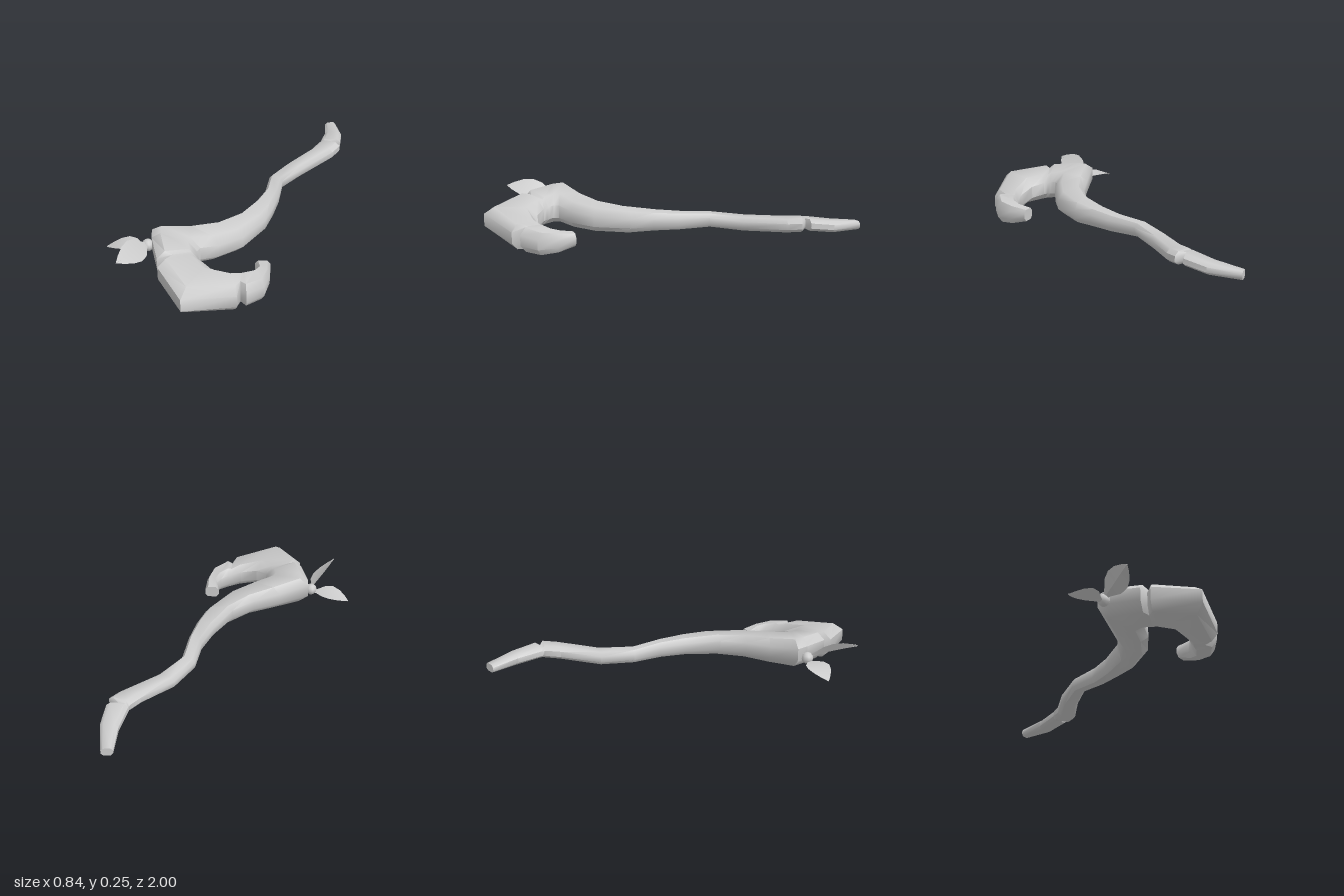
import * as THREE from 'three';
import { toCreasedNormals } from 'three/addons/utils/BufferGeometryUtils.js';

const material = new THREE.MeshStandardMaterial({ color: 0xcccccc });
const V = (x, y, z) => new THREE.Vector3(x, y, z);

// Closed skin over rings of equal point count, with capped ends
function loft(rings, crease) {
  const n = rings[0].length, last = rings.length - 1;
  const points = rings.flat(), index = [];
  for (let i = 0; i < last; i++) {
    for (let j = 0; j < n; j++) {
      const a = i * n + j, b = i * n + (j + 1) % n;
      index.push(a, b, a + n, b, b + n, a + n);
    }
  }
  for (let j = 1; j < n - 1; j++) {
    index.push(0, j + 1, j, last * n, last * n + j, last * n + j + 1);
  }
  const geometry = new THREE.BufferGeometry().setFromPoints(points);
  geometry.setIndex(index);
  return toCreasedNormals(geometry, crease);
}

// Bevelled eight-sided section: [across, up]
const SECTION = [[1, -0.45], [1, 0.45], [0.6, 1], [-0.6, 1], [-1, 0.45], [-1, -0.45], [-0.6, -1], [0.6, -1]];

function woodRing([lx, lz, ly, rx, rz, ry, h]) {
  const left = V(lx, ly, lz), right = V(rx, ry, rz);
  return SECTION.map(([u, v]) => {
    const p = left.clone().lerp(right, (u + 1) / 2);
    p.y += v * h;
    return p;
  });
}

// Leaf along base -> tip, with a raised midrib and curled blade
function leaf(base, tip, side, width, curl) {
  const dir = tip.clone().sub(base).normalize();
  const across = side.clone().addScaledVector(dir, -side.dot(dir)).normalize();
  const up = dir.clone().cross(across);
  const profile = [[0, 0.1], [0.12, 0.35], [0.3, 0.85], [0.5, 1], [0.7, 0.8], [0.88, 0.4], [1, 0.04]];
  const rings = profile.map(([t, w]) => {
    const c = base.clone().lerp(tip, t).addScaledVector(up, curl * Math.sin(t * Math.PI));
    const half = w * width / 2, thick = 0.003 + 0.004 * w;
    return [[half, 0.008 * w], [0, thick - 0.005 * w], [-half, 0.008 * w], [0, -thick - 0.005 * w]]
      .map(([u, v]) => c.clone().addScaledVector(across, u).addScaledVector(up, v));
  });
  return loft(rings, 0.5);
}

export function createModel() {
  const group = new THREE.Group();
  const add = (name, geometry) => {
    const mesh = new THREE.Mesh(geometry, material);
    mesh.name = name;
    group.add(mesh);
    return mesh;
  };

  // Stations: outer x, z, y, inner x, z, y, half thickness
  const shaft = [
    [0.02, -0.965, 0.11, 0.07, -1, 0.112, 0.022],
    [0.08, -0.83, 0.125, 0.17, -0.86, 0.125, 0.03],
    [0.11, -0.7, 0.143, 0.215, -0.74, 0.143, 0.031],
    [0.112, -0.69, 0.143, 0.18, -0.712, 0.143, 0.027], // crack
    [0.11, -0.68, 0.143, 0.23, -0.695, 0.143, 0.034],
    [0.1, -0.6, 0.135, 0.22, -0.62, 0.135, 0.035],
    [0.035, -0.39, 0.117, 0.135, -0.39, 0.117, 0.036],
    [0.02, -0.21, 0.125, 0.1, -0.21, 0.125, 0.036],
    [0.07, -0.06, 0.13, 0.155, -0.05, 0.128, 0.043],
    [0.08, 0.08, 0.135, 0.185, 0.08, 0.13, 0.048],
    [0.065, 0.27, 0.14, 0.2, 0.2, 0.125, 0.057],
    [0, 0.4, 0.145, 0.175, 0.4, 0.125, 0.063],
    [-0.1, 0.51, 0.155, 0.11, 0.53, 0.13, 0.07],
  ];
  const hook = [
    [-0.22, 0.63, 0.182, 0.045, 0.61, 0.14, 0.078],
    [-0.185, 0.69, 0.18, 0.045, 0.64, 0.14, 0.077],
    [-0.08, 0.815, 0.163, 0.06, 0.66, 0.135, 0.075],
    [-0.035, 0.8, 0.152, 0.07, 0.672, 0.132, 0.07], // crack
    [-0.05, 0.86, 0.15, 0.085, 0.685, 0.13, 0.075],
    [0.155, 0.995, 0.115, 0.155, 0.705, 0.115, 0.074],
    [0.35, 0.8, 0.075, 0.245, 0.68, 0.09, 0.068],
    [0.335, 0.735, 0.075, 0.29, 0.64, 0.08, 0.06], // crack
    [0.375, 0.75, 0.07, 0.3, 0.625, 0.08, 0.065],
    [0.42, 0.65, 0.062, 0.325, 0.585, 0.075, 0.06],
    [0.4, 0.55, 0.065, 0.33, 0.545, 0.075, 0.05],
    [0.36, 0.46, 0.075, 0.29, 0.495, 0.075, 0.033],
  ];
  add('crookedStaff', loft([...shaft, ...hook].map(woodRing), 0.85));

  // Twig sprouting from the crook, ending in a bud
  const twig = add('twig', new THREE.CylinderGeometry(0.018, 0.025, 0.08, 8));
  twig.position.set(-0.185, 0.165, 0.67);
  twig.quaternion.setFromUnitVectors(V(0, 1, 0), V(-0.9, -0.15, 0.4).normalize());
  const bud = add('bud', new THREE.SphereGeometry(0.032, 8, 6));
  bud.position.set(-0.212, 0.16, 0.685);

  add('sideLeaf', leaf(V(-0.22, 0.145, 0.69), V(-0.422, 0.118, 0.74), V(0, 0, 1), 0.125, 0.018));
  add('frontLeaf', leaf(V(-0.212, 0.17, 0.69), V(-0.22, 0.215, 0.955), V(0.75, -0.66, 0), 0.125, 0.012));
  return group;
}
